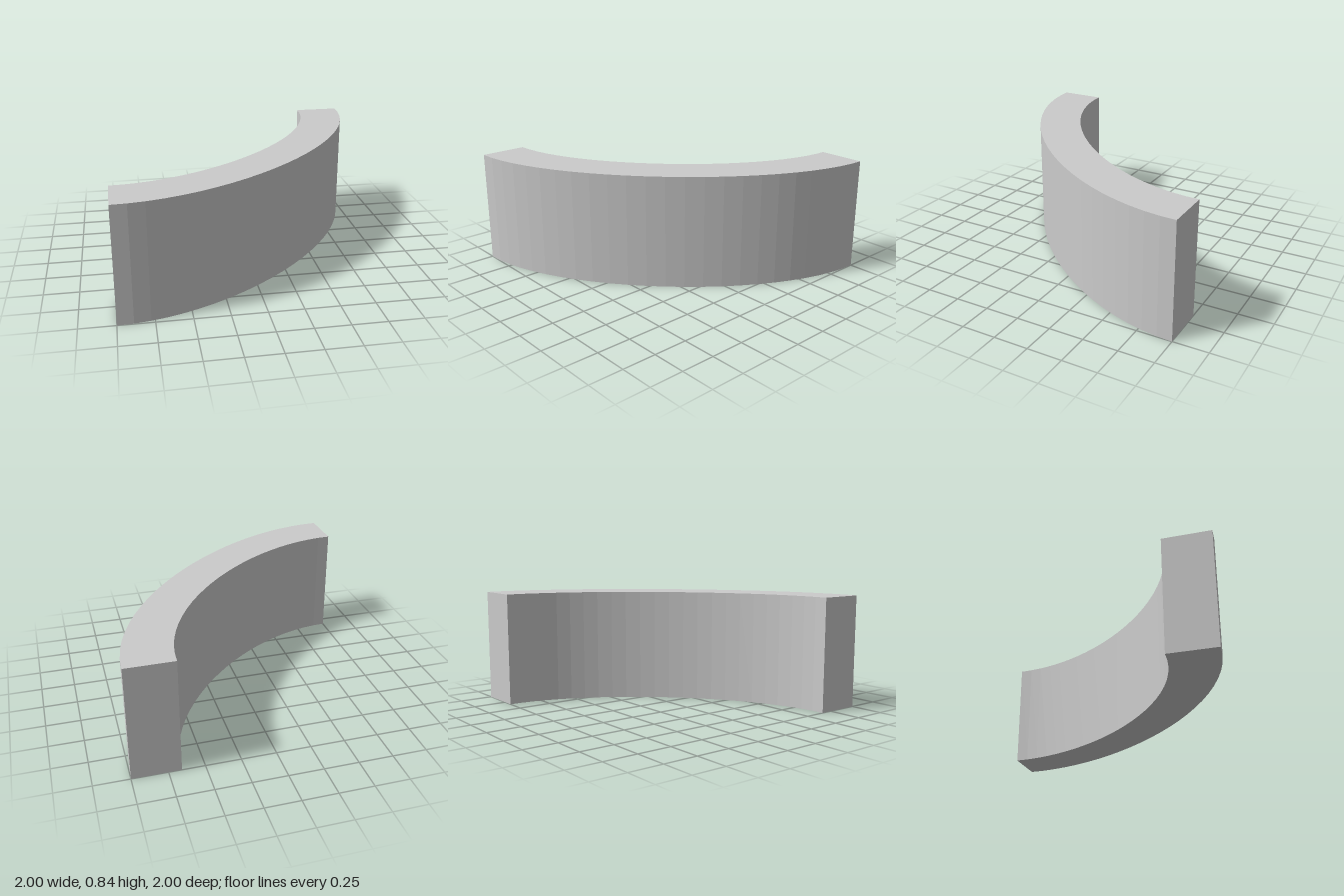
import * as THREE from 'three';

export function createModel() {
  const group = new THREE.Group();
  group.name = 'curvedWall';

  // Plan outline of the quarter bend, drawn with y as -z
  const height = 0.84, inner = 0.66, outerHandle = 0.88, innerHandle = 0.74;
  const plan = new THREE.Shape();
  plan.moveTo(-1, -1);
  plan.bezierCurveTo(-1 + outerHandle, -1, 1, 1 - outerHandle, 1, 1);
  plan.lineTo(inner, 1);
  plan.bezierCurveTo(inner, 1 - innerHandle, -1 + innerHandle, -inner, -1, -inner);
  plan.closePath();

  // Raise the plan into a faceted wall standing on the ground
  const geometry = new THREE.ExtrudeGeometry(plan, {
    depth: height, bevelEnabled: false, curveSegments: 24,
  });
  geometry.rotateX(-Math.PI / 2);

  const wall = new THREE.Mesh(geometry, new THREE.MeshStandardMaterial({ color: 0xcccccc, flatShading: true }));
  wall.name = 'wallSegment';
  group.add(wall);
  return group;
}
